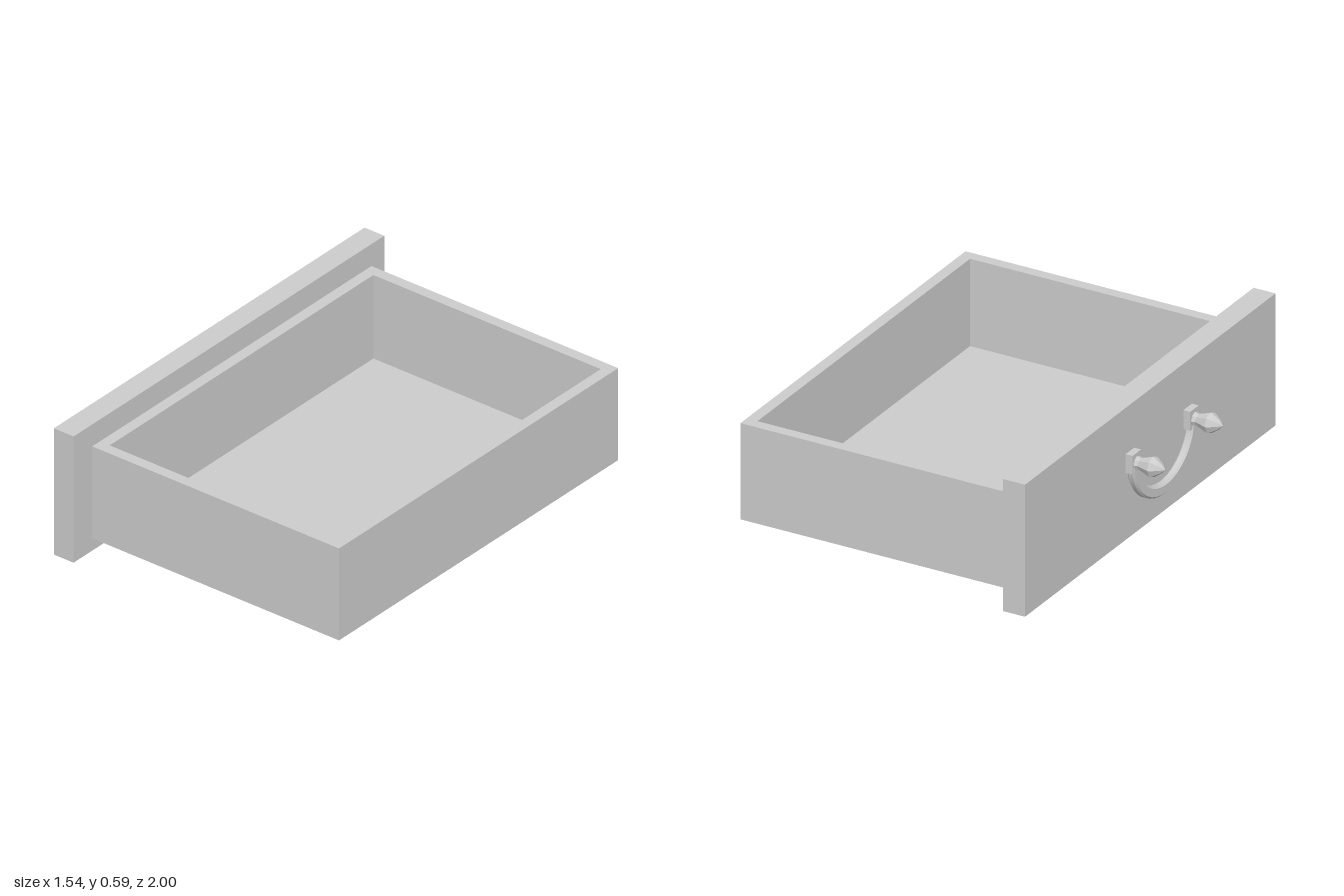
import * as THREE from 'three';
import { toCreasedNormals } from 'three/addons/utils/BufferGeometryUtils.js';

export function createModel() {
  const model = new THREE.Group();
  model.name = 'drawer';
  const material = new THREE.MeshStandardMaterial({ color: 0xcccccc });

  function add(parent, name, geometry) {
    const mesh = new THREE.Mesh(geometry, material);
    mesh.name = name;
    parent.add(mesh);
    return mesh;
  }
  // box given by its lower and upper corners
  function box(name, [x0, y0, z0], [x1, y1, z1]) {
    const g = new THREE.BoxGeometry(x1 - x0, y1 - y0, z1 - z0);
    g.translate((x0 + x1) / 2, (y0 + y1) / 2, (z0 + z1) / 2);
    return add(model, name, g);
  }
  function rectangle(Type, x0, y0, x1, y1) {
    const r = new Type();
    r.moveTo(x0, y0);
    r.lineTo(x1, y0);
    r.lineTo(x1, y1);
    r.lineTo(x0, y1);
    r.closePath();
    return r;
  }

  // overhanging face board
  const faceX = -0.605;
  box('facePanel', [faceX, 0, -1], [-0.503, 0.593, 1]);

  // open tray: four walls as one frame, closed by a floor
  const X0 = -0.503, X1 = 0.768, Z0 = -0.917, Z1 = 0.88, wall = 0.05;
  const frame = rectangle(THREE.Shape, X0, -Z1, X1, -Z0);
  frame.holes.push(rectangle(THREE.Path, X0 + wall, -Z1 + wall, X1 - wall, -Z0 - wall));
  const walls = new THREE.ExtrudeGeometry(frame, { depth: 0.432, bevelEnabled: false });
  walls.rotateX(-Math.PI / 2).translate(0, 0.058, 0);
  add(model, 'trayWalls', walls);
  box('trayFloor', [X0 + wall, 0.058, Z0 + wall], [X1 - wall, 0.098, Z1 - wall]);

  // pull handle, built in the plane of the face board
  const handle = new THREE.Group();
  handle.name = 'handle';
  handle.position.set(faceX, 0.34, 0.068);
  model.add(handle);

  // hanging bail: half ring with bevelled edges
  const bevel = 0.008;
  const bail = new THREE.Shape();
  bail.absellipse(0, 0, 0.262, 0.237, Math.PI, Math.PI * 2, false);
  bail.absellipse(0, 0, 0.212, 0.187, Math.PI * 2, Math.PI, true);
  bail.closePath();
  const bailGeometry = new THREE.ExtrudeGeometry(bail, {
    depth: 0.02, curveSegments: 10, bevelThickness: bevel,
    bevelSize: bevel, bevelOffset: -bevel, bevelSegments: 1,
  });
  bailGeometry.translate(0, 0, bevel).rotateY(-Math.PI / 2);
  add(handle, 'bail', toCreasedNormals(bailGeometry, 0.6));

  // faceted knob turned about its own axis: radius, distance from the board
  const profile = [
    [0, 0], [0.035, 0], [0.035, 0.012], [0.022, 0.016], [0.03, 0.035],
    [0.026, 0.05], [0.034, 0.075], [0.045, 0.105], [0.043, 0.115],
    [0.02, 0.147], [0, 0.165],
  ].map(([r, d]) => new THREE.Vector2(r, d));
  for (const side of [-1, 1]) {
    const z = side * 0.23;
    // squared end of the bail
    const end = new THREE.BoxGeometry(0.032, 0.085, 0.068);
    end.translate(-0.016, 0.0025, z);
    add(handle, 'bailEnd', end);
    const knob = new THREE.LatheGeometry(profile, 8);
    knob.rotateZ(Math.PI / 2).translate(0, 0, z);
    add(handle, 'knob', toCreasedNormals(knob, 0.5));
  }
  return model;
}
